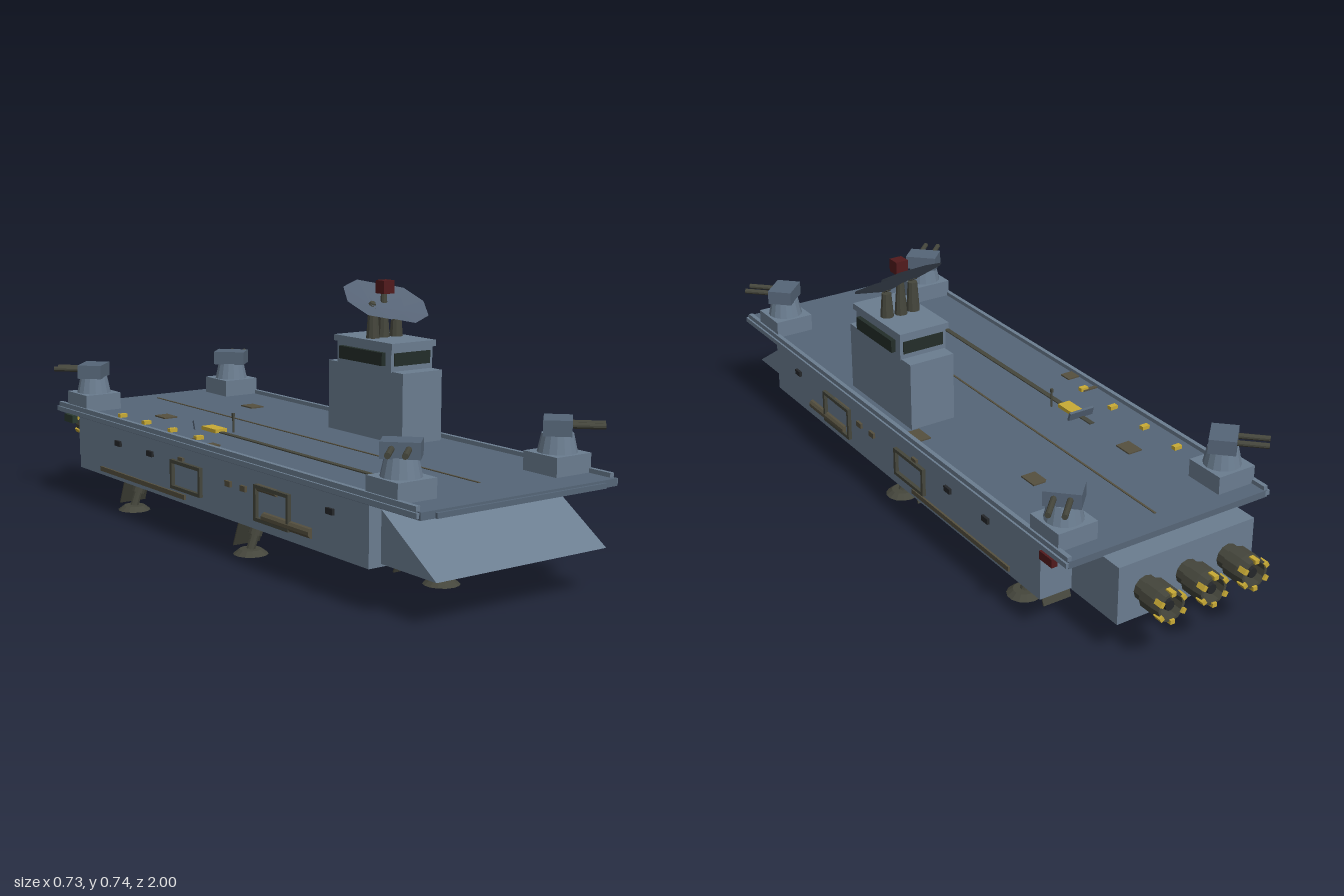
import * as THREE from 'three';

const paint = (color, extra = {}) =>
  new THREE.MeshStandardMaterial({ color, flatShading: true, ...extra });
const M = {
  hull: paint(0x6b7d90), deck: paint(0x566678), dark: paint(0x45463c), brown: paint(0x55503f),
  yellow: paint(0xc9ab35), red: paint(0x521a1c), green: paint(0x2a3a30), glass: paint(0x232d29),
  black: paint(0x25272a), dish: paint(0x566375, { side: THREE.DoubleSide }),
};

function add(parent, name, geometry, material, x = 0, y = 0, z = 0) {
  const mesh = new THREE.Mesh(geometry, material);
  mesh.name = name;
  mesh.position.set(x, y, z);
  parent.add(mesh);
  return mesh;
}

// Box given by its limits on each axis
function span(parent, name, material, [x0, x1], [y0, y1], [z0, z1]) {
  return add(parent, name, new THREE.BoxGeometry(x1 - x0, y1 - y0, z1 - z0), material,
    (x0 + x1) / 2, (y0 + y1) / 2, (z0 + z1) / 2);
}

// Cylinder running from a to b
function rod(parent, name, material, a, b, ra, rb = ra, sides = 10) {
  const A = new THREE.Vector3(...a), B = new THREE.Vector3(...b);
  const mesh = add(parent, name, new THREE.CylinderGeometry(rb, ra, A.distanceTo(B), sides), material);
  mesh.position.addVectors(A, B).multiplyScalar(0.5);
  mesh.quaternion.setFromUnitVectors(new THREE.Vector3(0, 1, 0), B.sub(A).normalize());
  return mesh;
}

function group(parent, name, x = 0, y = 0, z = 0) {
  const g = new THREE.Group();
  g.name = name;
  g.position.set(x, y, z);
  parent.add(g);
  return g;
}

function buildHull(root) {
  const g = group(root, 'hull');
  span(g, 'mainHull', M.hull, [-0.32, 0.32], [0.112, 0.277], [-0.69, 0.79]);
  span(g, 'sternBlock', M.hull, [-0.22, 0.22], [0.108, 0.276], [-0.885, -0.68]);
  // sloping bow, drawn as a side profile
  const bow = new THREE.Shape([[-0.78, 0.12], [-0.78, 0.257], [-0.79, 0.257], [-1, 0.12]]
    .map(p => new THREE.Vector2(...p)));
  const geo = new THREE.ExtrudeGeometry(bow, { depth: 0.564, bevelEnabled: false });
  geo.translate(0, 0, -0.282).rotateY(Math.PI / 2);
  add(g, 'bowRamp', geo, M.hull);
  // belly vents
  span(g, 'ventPanel', M.dark, [-0.05, 0.05], [0.106, 0.114], [0.29, 0.5]);
  for (let i = 0; i < 4; i++)
    span(g, 'vent', M.black, [-0.04, 0.04], [0.1, 0.108], [0.305 + i * 0.048, 0.34 + i * 0.048]);
}

function buildDeck(root) {
  const g = group(root, 'flightDeck');
  span(g, 'deckPlate', M.deck, [-0.325, 0.325], [0.274, 0.294], [-0.818, 0.99]);
  span(g, 'bowLip', M.deck, [-0.28, 0.28], [0.274, 0.288], [0.985, 0.997]);
  for (const s of [-1, 1]) {
    span(g, 'deckRail', M.hull, s < 0 ? [-0.327, -0.314] : [0.314, 0.327], [0.28, 0.306], [-0.815, 0.975]);
    span(g, 'deckSkirt', M.hull, s < 0 ? [-0.333, -0.318] : [0.318, 0.333], [0.278, 0.292], [-0.818, 0.985]);
  }
  span(g, 'centreLine', M.brown, [-0.003, 0.003], [0.293, 0.296], [-0.75, 0.83]);
  span(g, 'launchTrack', M.dark, [-0.17, -0.154], [0.293, 0.297], [-0.255, 0.82]);
  for (const [x, z, w, d] of [[-0.16, -0.43, 0.045, 0.06], [0.16, -0.43, 0.045, 0.06],
    [-0.293, 0.035, 0.04, 0.04], [-0.29, -0.07, 0.05, 0.012], [0.29, -0.045, 0.04, 0.065]])
    add(g, 'hatch', new THREE.BoxGeometry(w, 0.006, d), M.brown, x, 0.295, z);
  for (const z of [-0.505, -0.36, -0.21, -0.065])
    add(g, 'deckMarker', new THREE.BoxGeometry(0.025, 0.012, 0.016), M.yellow, -0.27, 0.299, z);
  // launch shuttle, blast shield and mast
  span(g, 'launchShuttle', M.yellow, [-0.182, -0.142], [0.294, 0.305], [-0.19, -0.115]);
  const shield = span(g, 'blastShield', M.deck, [-0.2, -0.117], [0.292, 0.32], [-0.208, -0.2]);
  shield.rotation.x = -0.3;
  rod(g, 'mast', M.dark, [-0.129, 0.294, -0.1], [-0.129, 0.345, -0.1], 0.003, 0.003, 6);
  add(g, 'mastHead', new THREE.BoxGeometry(0.008, 0.01, 0.008), M.dark, -0.129, 0.346, -0.1);
}

// Gun turret aimed outward along its local +z
function buildTurret(root, sx, z) {
  const g = group(root, 'gunTurret', sx * 0.26, 0, z);
  span(g, 'turretBase', M.hull, [-0.061, 0.061], [0.29, 0.346], [-0.062, 0.062]);
  add(g, 'turretCone', new THREE.CylinderGeometry(0.042, 0.053, 0.05, 16), M.hull, 0, 0.371, 0);
  const head = group(g, 'turretHead', 0, 0.415, 0);
  head.rotation.y = Math.atan2(sx, z > 0 ? 1 : -1);
  add(head, 'turretHousing', new THREE.BoxGeometry(0.1, 0.042, 0.075), M.deck);
  for (const x of [-0.021, 0.021])
    rod(head, 'gunBarrel', M.dark, [x, 0.004, 0.025], [x, 0.004, 0.122], 0.008);
}

function buildTower(root) {
  const g = group(root, 'commandTower', 0.217, 0, 0.17);
  const tier = (name, mat, w, d, y0, y1) =>
    span(g, name, mat, [-w / 2, w / 2], [y0, y1], [-d / 2, d / 2]);
  tier('towerBody', M.hull, 0.142, 0.345, 0.29, 0.497);
  tier('bridge', M.hull, 0.15, 0.25, 0.495, 0.562);
  tier('bridgeWindows', M.glass, 0.178, 0.2, 0.512, 0.549);
  tier('windowFront', M.glass, 0.13, 0.256, 0.512, 0.549);
  tier('towerRoof', M.hull, 0.16, 0.27, 0.56, 0.578);
  // two shallow eight-sided dishes, rim centre at the group origin
  for (const [x, y] of [[-0.043, 0.69], [0.043, 0.674]]) {
    rod(g, 'dishPost', M.dark, [x, 0.577, 0], [x, y - 0.025, 0], 0.02, 0.014);
    const geo = new THREE.ConeGeometry(0.096, 0.022, 8, 1, true);
    geo.rotateX(Math.PI).translate(0, -0.011, 0);
    const dish = add(g, 'radarDish', geo, M.dish, x, y, 0.006);
    dish.rotation.x = 0.55;
    add(dish, 'dishFeed', new THREE.CylinderGeometry(0.008, 0.012, 0.01, 8), M.dark, 0, -0.016, 0);
  }
  rod(g, 'beaconPost', M.dark, [0, 0.577, -0.005], [0, 0.71, -0.005], 0.019, 0.008);
  add(g, 'beacon', new THREE.BoxGeometry(0.038, 0.038, 0.038), M.red, 0, 0.723, 0);
}

function buildEngine(root, x) {
  const g = group(root, 'engine', x, 0.19, 0);
  const profile = [[0, -0.05], [0.034, -0.05], [0.034, 0], [0.042, 0], [0.045, -0.03], [0.045, -0.075], [0.036, -0.08], [0.036, -0.12]];
  const nozzle = new THREE.LatheGeometry(profile.map(([r, h]) => new THREE.Vector2(r, h)), 12);
  const dark = M.dark.clone();
  dark.side = THREE.DoubleSide;
  add(g, 'nozzle', nozzle, dark, 0, 0, -0.992).rotation.x = -Math.PI / 2;
  rod(g, 'exhaustCore', M.black, [0, 0, -0.93], [0, 0, -0.985], 0.02, 0.014, 12);
  for (let i = 0; i < 6; i++) {
    const a = (i + 0.5) * Math.PI / 3;
    const lug = add(g, 'nozzleLug', new THREE.BoxGeometry(0.014, 0.012, 0.026), M.yellow,
      Math.cos(a) * 0.04, Math.sin(a) * 0.04, -0.986);
    lug.rotation.z = a + Math.PI / 2;
  }
}

// Landing leg: foot, strut, hinge and bay door
function buildLeg(root, x, z, topX, topZ, doorX) {
  const g = group(root, 'landingLeg');
  add(g, 'footPad', new THREE.CylinderGeometry(0.032, 0.05, 0.014, 14), M.dark, x, 0.007, z);
  rod(g, 'lowerStrut', M.dark, [x, 0.012, z], [topX, 0.115, topZ], 0.013);
  rod(g, 'upperStrut', M.dark, [x + (topX - x) * 0.4, 0.052, z + (topZ - z) * 0.4], [topX, 0.115, topZ], 0.02);
  add(g, 'legBay', new THREE.BoxGeometry(0.09, 0.01, 0.13), M.dark, doorX, 0.109, topZ);
  add(g, 'hinge', new THREE.BoxGeometry(0.05, 0.016, 0.02), M.yellow, topX, 0.1, topZ - 0.028);
  const door = add(g, 'bayDoor', new THREE.BoxGeometry(0.09, 0.106, 0.004), M.dark, doorX, 0.054, topZ - 0.07);
  door.rotation.x = 0.38;
}

// Fittings along one flank
function buildFlank(root, s) {
  const g = group(root, 'sideFittings');
  const box = (name, mat, z, y, d, h, out = 0.008) =>
    add(g, name, new THREE.BoxGeometry(out * 2, h, d), mat, s * 0.32, y, z);
  for (const z of [0.636, -0.25, -0.44]) box('sidePort', M.black, z, 0.228, 0.03, 0.016);
  for (const z of [0.245, 0.17]) box('sideVent', M.brown, z, 0.214, 0.026, 0.016);
  box('sideVent', M.brown, -0.075, 0.241, 0.025, 0.01);
  for (const [z, y, d, h] of [[0.383, 0.188, 0.16, 0.1], [-0.047, 0.191, 0.16, 0.085]]) {
    for (const e of [-1, 1]) {
      box('frameBar', M.dark, z, y + e * (h / 2 - 0.005), d, 0.01, 0.011);
      box('framePost', M.dark, z + e * (d / 2 - 0.005), y, 0.01, h, 0.011);
    }
  }
  rod(g, 'sideTank', M.brown, [s * 0.318, 0.153, 0.34], [s * 0.318, 0.153, 0.555], 0.015);
  rod(g, 'upperTank', M.brown, [s * 0.318, 0.229, 0.31], [s * 0.318, 0.229, 0.4], 0.011);
  box('longPipe', M.brown, -0.305, 0.132, 0.495, 0.014, 0.006);
  add(g, 'runningLight', new THREE.BoxGeometry(0.018, 0.024, 0.055), s > 0 ? M.red : M.green, s * 0.328, 0.263, -0.735);
}

export function createModel() {
  const root = new THREE.Group();
  root.name = 'carrierShip';
  buildHull(root);
  buildDeck(root);
  buildTower(root);
  for (const s of [-1, 1]) {
    buildFlank(root, s);
    buildTurret(root, s, 0.838);
    buildTurret(root, s, -0.705);
    for (const z of [0.15, -0.5]) buildLeg(root, s * 0.237, z, s * 0.2, z, s * 0.192);
  }
  buildLeg(root, 0, 0.69, 0, 0.635, 0);
  for (const x of [-0.135, 0, 0.135]) buildEngine(root, x);
  return root;
}
